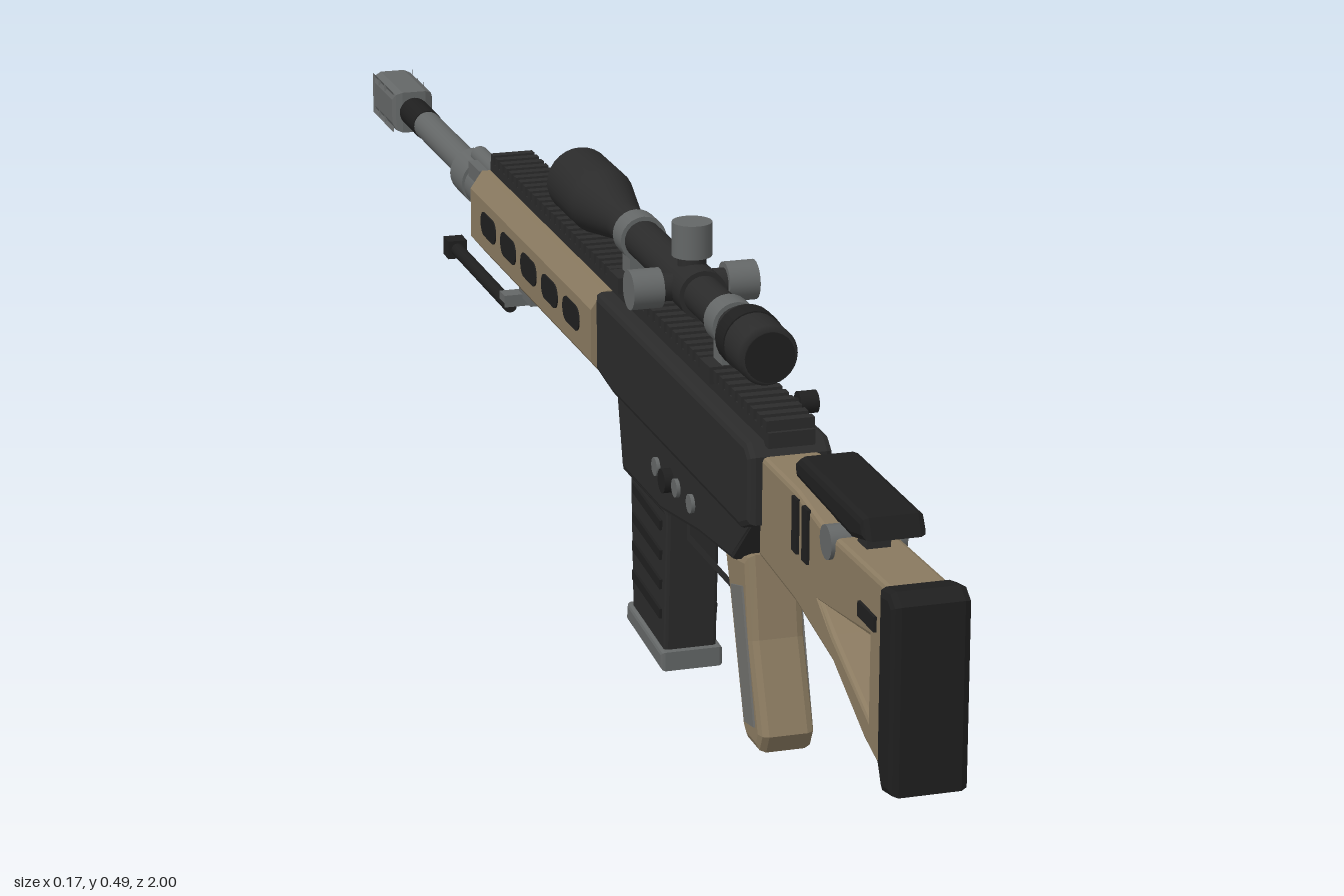
import * as THREE from 'three';

const mat = (name, color, side = THREE.FrontSide) => {
  const m = new THREE.MeshStandardMaterial({ color, side });
  m.name = name;
  return m;
};

export function createModel() {
  const black = mat('black coating', 0x2b2b2b);
  const rubber = mat('dark rubber', 0x1f1f1f);
  const tan = mat('tan polymer', 0x8a7a60);
  const steel = mat('grey steel', 0x646767);
  const panel = mat('grip panel grey', 0x6f6f6c);
  const glass = mat('teal glass', 0x35606b);

  const model = new THREE.Group();
  model.name = 'rifle';
  const body = new THREE.Group();
  body.name = 'body';
  body.position.x = -0.016;
  model.add(body);

  const add = (name, geo, m, x = 0, y = 0, z = 0) => {
    const mesh = new THREE.Mesh(geo, m);
    mesh.name = name;
    mesh.position.set(x, y, z);
    body.add(mesh);
    return mesh;
  };
  const box = (name, m, w, h, d, x, y, z) => add(name, new THREE.BoxGeometry(w, h, d), m, x, y, z);
  const path = (pts, Type = THREE.Shape) => new Type(pts.map(p => new THREE.Vector2(p[0], p[1])));
  const rect = (z0, z1, y0, y1) => [[z0, y0], [z1, y0], [z1, y1], [z0, y1]];

  // Side profile in (z, y) given a width along x, with bevelled edges
  const slab = (name, m, pts, width, bevel = 0.005, holes = [], x = 0) => {
    const s = path(pts);
    s.holes = holes.map(h => path(h, THREE.Path));
    const g = new THREE.ExtrudeGeometry(s, {
      depth: width - 2 * bevel, bevelEnabled: bevel > 0, bevelSize: bevel,
      bevelThickness: bevel, bevelOffset: -bevel, bevelSegments: 2,
    });
    g.translate(0, 0, -(width - 2 * bevel) / 2).rotateY(-Math.PI / 2);
    return add(name, g, m, x);
  };
  // Cylinder along z from z0 to z1
  const rod = (name, m, r, z0, z1, y, x = 0, seg = 24) =>
    add(name, new THREE.CylinderGeometry(r, r, Math.abs(z1 - z0), seg).rotateX(Math.PI / 2), m, x, y, (z0 + z1) / 2);
  // Cylinder along x from x0 to x1
  const pin = (name, m, r, x0, x1, y, z, seg = 18) =>
    add(name, new THREE.CylinderGeometry(r, r, Math.abs(x1 - x0), seg).rotateZ(Math.PI / 2), m, (x0 + x1) / 2, y, z);

  // Stock with its open triangle, butt pad and cheek rest
  slab('stock', tan, [[0.97, 0.15], [0.97, 0.34], [0.78, 0.335], [0.7, 0.345], [0.59, 0.345], [0.59, 0.24],
    [0.7, 0.232], [0.81, 0.212], [0.9, 0.17]], 0.06, 0.005,
    [[[0.912, 0.275], [0.77, 0.258], [0.81, 0.238], [0.912, 0.195]]]);
  slab('buttPad', rubber, [[1, 0.15], [1, 0.335], [0.985, 0.345], [0.957, 0.34], [0.957, 0.17], [0.97, 0.145]], 0.077, 0.008);
  slab('cheekRest', rubber, [[0.9, 0.362], [0.89, 0.382], [0.71, 0.382], [0.695, 0.372], [0.7, 0.358], [0.86, 0.352]], 0.062, 0.007);
  for (const z of [0.84, 0.76]) box('cheekPost', black, 0.024, 0.03, 0.025, 0, 0.345, z);
  pin('cheekKnob', steel, 0.017, -0.034, 0.042, 0.328, 0.8);
  for (const s of [-1, 1]) {
    for (const z of [0.735, 0.705]) box('stockSlot', rubber, 0.004, 0.055, 0.015, s * 0.031, 0.312, z);
    box('stockSlingSlot', rubber, 0.004, 0.015, 0.045, s * 0.031, 0.294, 0.91);
  }

  // Upper and lower receiver
  slab('upperReceiver', black, [[0.6, 0.275], [0.6, 0.345], [0.585, 0.357], [0.068, 0.357], [0.068, 0.27], [0.13, 0.262], [0.57, 0.262]], 0.087, 0.007);
  slab('lowerReceiver', black, [[0.6, 0.28], [0.53, 0.215], [0.42, 0.205], [0.29, 0.185], [0.15, 0.185], [0.128, 0.27]], 0.076, 0.005);
  for (const z of [0.4, 0.35, 0.28]) pin('receiverPin', steel, 0.01, -0.042, 0.042, 0.23, z);
  for (const s of [-1, 1]) pin('selector', s > 0 ? steel : rubber, 0.013, s * 0.036, s * 0.048, 0.23, 0.325);

  // Ejection port, bolt and handle on the left
  box('portFrame', rubber, 0.004, 0.056, 0.165, 0.044, 0.32, 0.315);
  box('boltCover', steel, 0.006, 0.038, 0.135, 0.045, 0.321, 0.313);
  box('boltPlate', steel, 0.014, 0.058, 0.045, 0.044, 0.321, 0.425);
  pin('boltHandle', rubber, 0.006, 0.044, 0.085, 0.322, 0.385);
  pin('boltKnob', rubber, 0.012, 0.079, 0.099, 0.322, 0.385);

  // Toothed top rail
  box('railBase', black, 0.048, 0.016, 1.03, 0, 0.361, 0.085);
  for (let i = 0; i < 52; i++) box('railTooth', black, 0.05, 0.012, 0.011, 0, 0.374, 0.59 - i * 0.0198);

  // Eight-sided handguard with vent slots
  const hg = path([[-0.03, 0.258], [0.03, 0.258], [0.048, 0.28], [0.048, 0.338], [0.034, 0.358], [-0.034, 0.358], [-0.048, 0.338], [-0.048, 0.28]]);
  add('handguard', new THREE.ExtrudeGeometry(hg, { depth: 0.5, bevelEnabled: false }), tan, 0, 0, -0.432);
  const slot = new THREE.Shape();
  slot.absarc(-0.018, 0, 0.014, Math.PI / 2, Math.PI * 1.5);
  slot.absarc(0.018, 0, 0.014, -Math.PI / 2, Math.PI / 2);
  const slotGeo = new THREE.ExtrudeGeometry(slot, { depth: 0.004, bevelEnabled: false, curveSegments: 8 })
    .translate(0, 0, -0.002).rotateY(-Math.PI / 2);
  for (const s of [-1, 1]) {
    for (let i = 0; i < 5; i++) add('ventSlot', slotGeo, rubber, s * 0.0475, 0.312, -0.007 - i * 0.086);
  }
  rod('handguardCap', rubber, 0.042, -0.43, -0.445, 0.31, 0, 8);

  // Barrel, gas block and ported muzzle brake
  rod('barrelShank', steel, 0.026, -0.43, -0.56, 0.308);
  rod('gasTube', steel, 0.011, -0.43, -0.57, 0.338);
  box('gasBlock', steel, 0.044, 0.045, 0.05, 0, 0.318, -0.515);
  rod('barrelCollar', steel, 0.029, -0.545, -0.6, 0.31);
  rod('barrel', steel, 0.0175, -0.56, -0.83, 0.31);
  rod('barrelSleeve', rubber, 0.0185, -0.82, -0.89, 0.31);
  slab('muzzleBrake', steel, rect(-1, -0.888, 0.284, 0.336), 0.052, 0.011,
    [-0.985, -0.955, -0.925].map(z => rect(z - 0.003, z + 0.021, 0.295, 0.325)));
  rod('bore', rubber, 0.01, -0.999, -1.0005, 0.31);

  // Folded bipod
  box('bipodMount', steel, 0.045, 0.02, 0.05, 0, 0.25, -0.29);
  box('bipodCrossbar', steel, 0.088, 0.014, 0.022, 0, 0.238, -0.31);
  for (const s of [-1, 1]) {
    rod('bipodLeg', rubber, 0.008, -0.3, -0.55, 0.232, s * 0.037, 12);
    box('bipodFoot', rubber, 0.023, 0.022, 0.024, s * 0.037, 0.232, -0.549);
  }

  // Grip with side panels
  slab('grip', tan, [[0.55, 0.225], [0.475, 0.21], [0.492, 0.165], [0.538, 0.04], [0.55, 0.03], [0.59, 0.03], [0.6, 0.05], [0.565, 0.14]], 0.058, 0.009);
  for (const s of [-1, 1]) {
    slab('gripPanel', panel, [[0.54, 0.19], [0.505, 0.18], [0.552, 0.05], [0.582, 0.055]], 0.004, 0, [], s * 0.029);
  }

  // Trigger and guard
  slab('triggerGuard', black, [[0.485, 0.21], [0.465, 0.157], [0.31, 0.157], [0.31, 0.2]], 0.03, 0,
    [[[0.474, 0.208], [0.458, 0.166], [0.319, 0.166], [0.319, 0.199]]]);
  slab('trigger', steel, [[0.425, 0.21], [0.41, 0.21], [0.418, 0.185], [0.436, 0.169], [0.428, 0.19]], 0.014, 0);

  // Magazine with ribs and floor plate
  slab('magazineWell', black, [[0.295, 0.21], [0.295, 0.18], [0.142, 0.18], [0.138, 0.21]], 0.07, 0.004);
  slab('magazine', black, [[0.287, 0.2], [0.276, 0.015], [0.16, 0.027], [0.15, 0.2]], 0.058, 0.004);
  for (let i = 0; i < 4; i++) {
    const rib = box('magazineRib', rubber, 0.064, 0.011, 0.1, 0, 0.065 + i * 0.033, 0.218);
    rib.rotation.x = 0.09;
  }
  slab('magazineFloor', steel, [[0.283, 0.001], [0.283, 0.022], [0.155, 0.033], [0.152, 0.013]], 0.068, 0.004);

  // Scope tube turned around its axis: radius, z
  const scope = [[0, 0.53], [0.027, 0.53], [0.031, 0.524], [0.031, 0.45], [0.021, 0.425], [0.021, 0.035],
    [0.036, -0.045], [0.038, -0.055], [0.038, -0.138], [0.034, -0.14], [0, -0.135]].reverse();
  const scopeGeo = new THREE.LatheGeometry(scope.map(p => new THREE.Vector2(p[0], p[1])), 28).rotateX(Math.PI / 2);
  add('scopeTube', scopeGeo.toNonIndexed(), black, 0, 0.423, 0);
  rod('objectiveLens', glass, 0.034, -0.132, -0.1405, 0.423);
  rod('eyepiece', rubber, 0.026, 0.525, 0.532, 0.423);
  rod('zoomRing', rubber, 0.0325, 0.455, 0.48, 0.423);

  // Scope mounts
  for (const z of [0.41, 0.09]) {
    rod('scopeRing', steel, 0.0255, z - 0.015, z + 0.015, 0.423);
    box('scopeFoot', steel, 0.03, 0.035, 0.028, 0, 0.39, z);
    box('scopeClamp', black, 0.058, 0.018, 0.034, 0, 0.374, z);
  }

  // Three turrets on a central hub
  rod('turretHub', black, 0.026, 0.235, 0.315, 0.423);
  add('topTurretNeck', new THREE.CylinderGeometry(0.015, 0.015, 0.04, 18), black, 0, 0.445, 0.275);
  add('topTurret', new THREE.CylinderGeometry(0.021, 0.021, 0.036, 24), steel, 0, 0.473, 0.275);
  for (const s of [-1, 1]) {
    pin('sideTurretNeck', black, 0.015, s * 0.02, s * 0.04, 0.423, 0.275);
    pin('sideTurret', steel, 0.021, s * 0.035, s * 0.068, 0.423, 0.275, 24);
  }

  return model;
}
